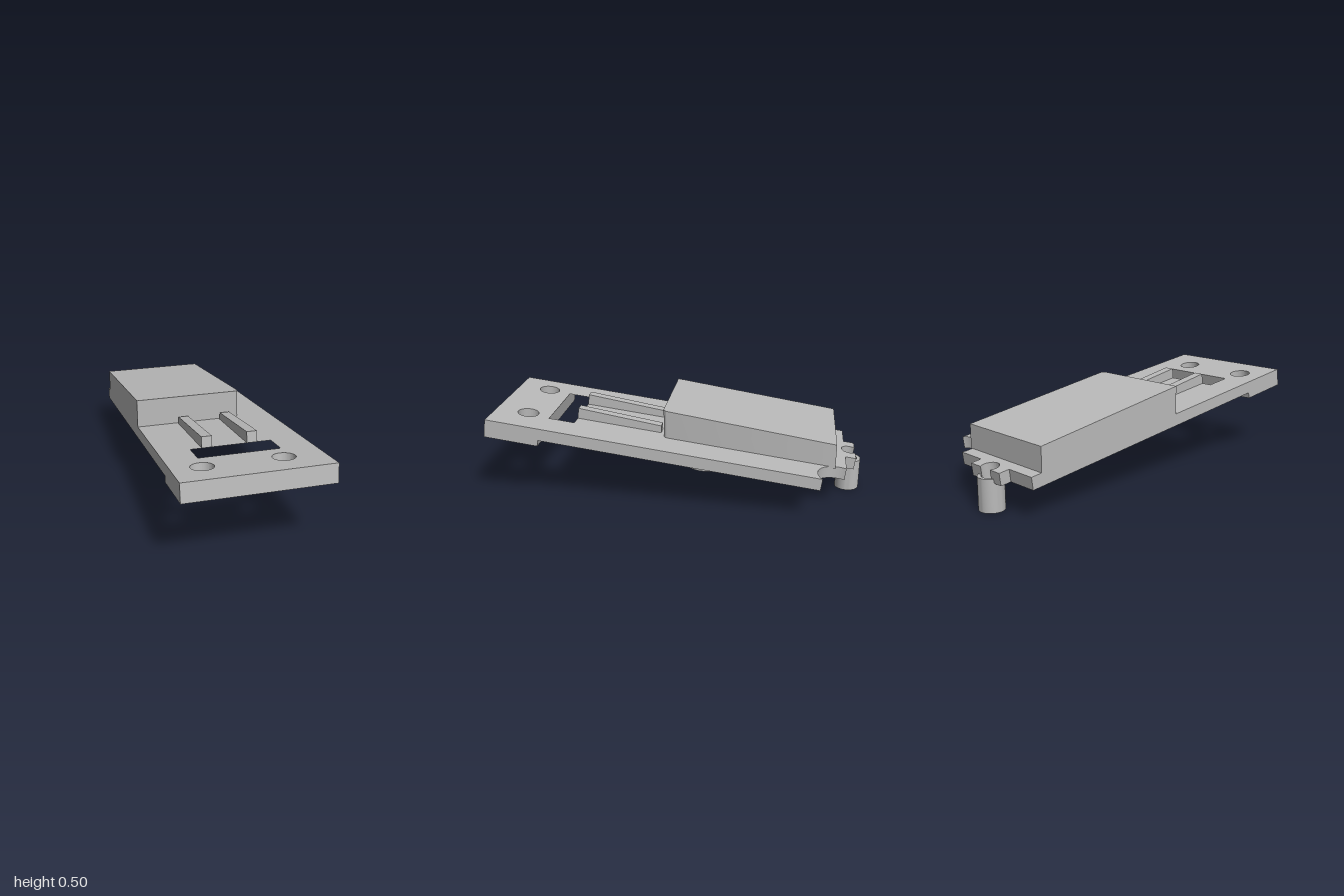
import * as THREE from 'three';
import { toCreasedNormals } from 'three/addons/utils/BufferGeometryUtils.js';

const grey = new THREE.MeshStandardMaterial({ color: 0xbababa });
grey.name = 'light grey';

const TILT = 0.1283; // slope of the base plate
const PLANE_Y = 0.338; // height of the plate's top face at z = 0
const W = 0.373; // half width

function add(parent, name, geometry) {
  const mesh = new THREE.Mesh(toCreasedNormals(geometry, 0.5), grey);
  mesh.name = name;
  parent.add(mesh);
  return mesh;
}

// Plan outline (x, z) extruded downwards from y = 0
function slab(shape, depth) {
  return new THREE.ExtrudeGeometry(shape, { depth, bevelEnabled: false, curveSegments: 32 }).rotateX(Math.PI / 2);
}

function polygon(points) {
  return new THREE.Shape(points.map(([x, y]) => new THREE.Vector2(x, y)));
}

function lathe(points) {
  return new THREE.LatheGeometry(points.map(([x, y]) => new THREE.Vector2(x, y)), 48);
}

export function createModel() {
  const model = new THREE.Group();
  model.name = 'mountingBracket';

  // Everything square to the sloping plate goes in this group
  const tilted = new THREE.Group();
  tilted.name = 'tiltedPlate';
  tilted.position.y = PLANE_Y;
  tilted.rotation.x = -TILT;
  model.add(tilted);

  // Thin plate with a corner bite, a rear tab and a slot
  const plate = new THREE.Shape();
  plate.moveTo(-W, 0.703);
  plate.lineTo(W, 0.703);
  plate.absarc(0.3, -0.882, 0.12, 0.916, 3.437, false);
  plate.lineTo(0.022, -0.917);
  plate.lineTo(0.022, -0.975);
  plate.absarc(-0.093, -0.947, 0.047, -0.635, Math.PI + 0.635, false);
  plate.lineTo(-0.205, -0.975);
  plate.lineTo(-0.205, -0.917);
  plate.lineTo(-W, -0.917);
  plate.closePath();
  plate.holes.push(polygon([[-0.21, 0.555], [-0.21, 0.695], [0.205, 0.695], [0.205, 0.555]]));
  add(tilted, 'basePlate', slab(plate, 0.065));

  // Thicker front end with two countersunk holes
  const holeX = [-0.223, 0.174];
  const holeZ = 0.82;
  const frontEnd = (radius) => {
    const shape = polygon([[-W, 0.703], [W, 0.703], [W, 0.995], [-W, 0.995]]);
    for (const x of holeX) shape.holes.push(new THREE.Path().absarc(x, holeZ, radius, 0, Math.PI * 2, true));
    return shape;
  };
  add(tilted, 'frontEndUpper', slab(frontEnd(0.057), 0.05));
  add(tilted, 'frontEndLower', slab(frontEnd(0.105), 0.048)).position.y = -0.05;
  for (const x of holeX) {
    add(tilted, 'countersink', lathe([[0.057, -0.05], [0.105, -0.098]])).position.set(x, 0, holeZ);
  }

  // Two tapering ribs behind the slot
  const ribProfile = polygon([[0.088, 0], [0.555, 0], [0.555, 0.058], [0.093, 0.039]]);
  for (const x of [-0.125, 0.107]) {
    const rib = new THREE.ExtrudeGeometry(ribProfile, { depth: 0.053, bevelEnabled: false });
    add(tilted, 'rib', rib.rotateY(-Math.PI / 2).translate(x + 0.0265, 0, 0));
  }

  // Raised block with upright sides, one rounded corner and its own top slope
  const outline = new THREE.Shape();
  outline.moveTo(-W, -0.85);
  outline.lineTo(0.192, -0.85);
  outline.lineTo(0.192, 0.043);
  outline.absarc(0.168, 0.043, 0.024, 0, Math.PI / 2, false);
  outline.lineTo(-W, 0.067);
  outline.closePath();
  const block = slab(outline, 1);
  const pos = block.attributes.position;
  for (let i = 0; i < pos.count; i++) {
    const z = pos.getZ(i);
    const isTop = pos.getY(i) > -0.5;
    pos.setY(i, isTop ? 0.498 - (0.067 - z) * 0.156 : PLANE_Y + z * Math.tan(TILT) - 0.01);
  }
  add(model, 'raisedBlock', block);

  // Upright hollow post under the rear tab
  const post = lathe([[0.047, 0], [0.066, 0], [0.066, 0.17], [0.047, 0.17], [0.047, 0]]);
  add(model, 'hollowPost', post).position.set(-0.091, 0, -0.934);

  // Round foot under the plate
  const foot = new THREE.CylinderGeometry(0.098, 0.098, 0.06, 48);
  add(model, 'roundFoot', foot).position.set(0.224, 0.25, -0.168);

  return model;
}
